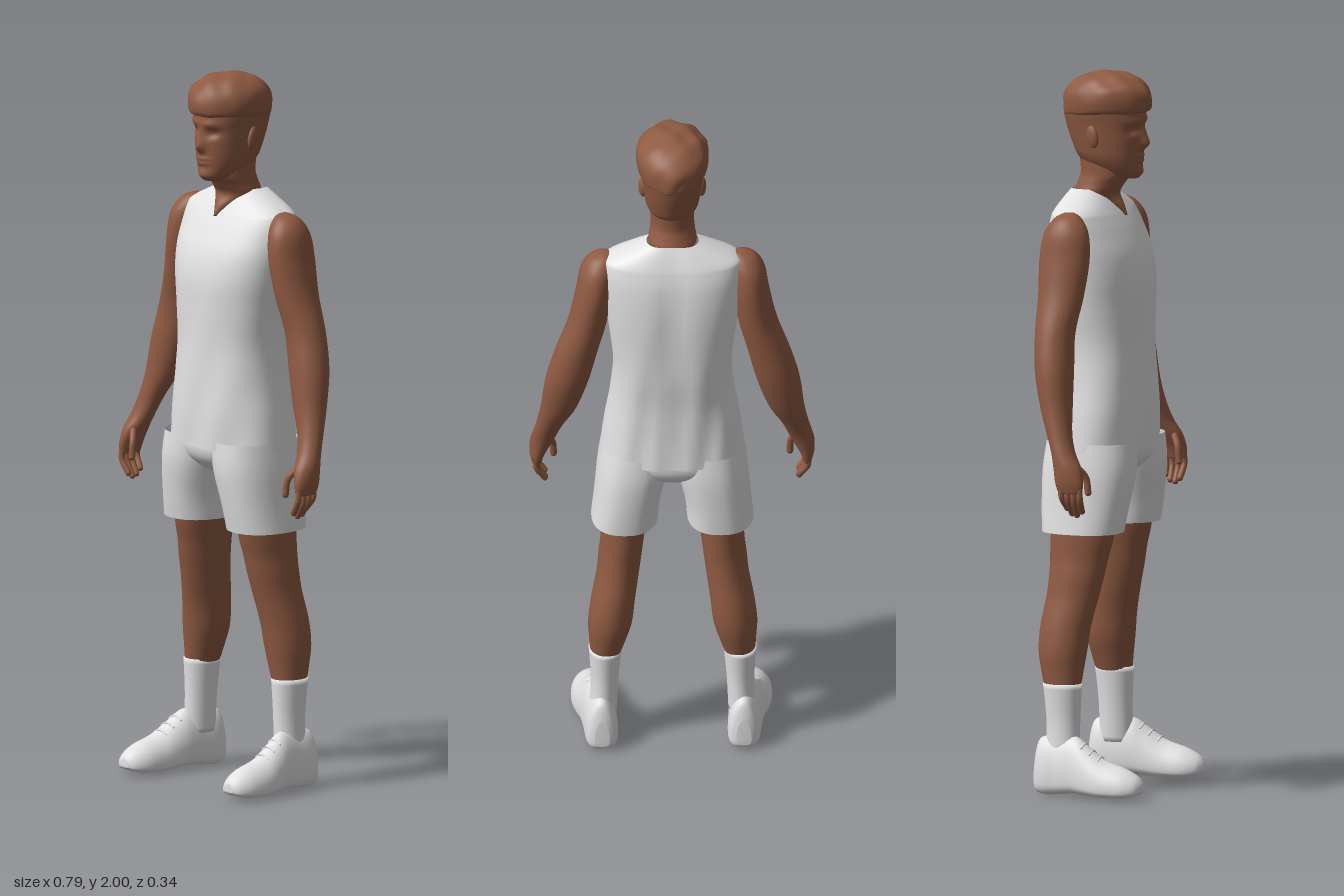
import * as THREE from 'three';

const skin = new THREE.MeshStandardMaterial({ color: 0x8f5a42 });
skin.name = 'skin';
const cloth = new THREE.MeshStandardMaterial({ color: 0xe2e2e2, side: THREE.DoubleSide });
cloth.name = 'white cloth';

const bump = (d, w) => Math.exp(-(d * d) / (w * w));
const power = (v, n) => Math.sign(v) * Math.pow(Math.abs(v), 2 / n);

// smooth interpolation between neighbouring profile rows
function blend(rows, i, t) {
  const at = (k) => rows[Math.min(rows.length - 1, Math.max(0, k))];
  const [a, b, c, d] = [at(i - 1), at(i), at(i + 1), at(i + 2)];
  return b.map((_, k) => {
    const m0 = (c[k] - a[k]) / 2, m1 = (d[k] - b[k]) / 2;
    const t2 = t * t, t3 = t2 * t;
    return (2 * t3 - 3 * t2 + 1) * b[k] + (t3 - 2 * t2 + t) * m0 + (3 * t2 - 2 * t3) * c[k] + (t3 - t2) * m1;
  });
}

// Skin over oval cross-sections. Rows along y, upwards: [y, centreX, halfWidth, zFront, zBack];
// rows along z, front to back: [z, centreX, halfWidth, yTop, yBottom].
function loft(name, material, rows, { axis = 'y', seg = 32, steps = 5, cap = true, nf = 2, nb = 2, mid = 0.5, shape } = {}) {
  const rings = [];
  for (let i = 0; i < rows.length - 1; i++)
    for (let s = 0; s < steps; s++) rings.push(blend(rows, i, s / steps));
  rings.push(rows[rows.length - 1]);
  if (cap) {
    const point = ([t, x, , f, b]) => { const m = b + (f - b) * mid; return [t, x, 0, m, m]; };
    rings.unshift(point(rings[0]));
    rings.push(point(rings[rings.length - 1]));
  }
  const pos = [], index = [], v = new THREE.Vector3();
  rings.forEach(([t, x, r, f, b], i) => {
    const m = b + (f - b) * mid;
    for (let j = 0; j < seg; j++) {
      const a = (j / seg) * Math.PI * 2, s = Math.sin(a), n = s > 0 ? nf : nb;
      const px = x + r * power(Math.cos(a), n), q = m + (s > 0 ? f - m : m - b) * power(s, n);
      if (axis === 'y') v.set(px, t, q); else v.set(px, q, t);
      if (shape) shape(v);
      pos.push(v.x, v.y, v.z);
      if (i < rings.length - 1) {
        const k = (j + 1) % seg, lo = i * seg, hi = lo + seg;
        index.push(lo + j, hi + j, lo + k, hi + j, hi + k, lo + k);
      }
    }
  });
  const g = new THREE.BufferGeometry();
  g.setAttribute('position', new THREE.Float32BufferAttribute(pos, 3));
  g.setIndex(index);
  g.computeVertexNormals();
  const mesh = new THREE.Mesh(g, material);
  mesh.name = name;
  return mesh;
}

// rounded tube through a few points
function strand(name, material, points, r) {
  const group = new THREE.Group();
  group.name = name;
  const pts = points.map((p) => new THREE.Vector3(...p));
  group.add(new THREE.Mesh(new THREE.TubeGeometry(new THREE.CatmullRomCurve3(pts), 10, r, 10), material));
  for (const p of [pts[0], pts[pts.length - 1]]) {
    const tip = new THREE.Mesh(new THREE.SphereGeometry(r, 10, 8), material);
    tip.position.copy(p);
    group.add(tip);
  }
  return group;
}

function makeHead() {
  const head = new THREE.Group();
  head.name = 'head';
  // nose, eye sockets, brow, lips and chin are pushed out of the face
  const face = (v) => {
    if (v.z < 0.02) return;
    const x = Math.abs(v.x), y = v.y;
    v.z += 0.020 * bump(x, 0.013) * bump(y - 1.803, 0.018) + 0.010 * bump(x, 0.010) * bump(y - 1.83, 0.022)
      - 0.013 * bump(x - 0.035, 0.018) * bump(y - 1.842, 0.013)
      + 0.005 * bump(x - 0.03, 0.03) * bump(y - 1.868, 0.01)
      + 0.007 * bump(x, 0.022) * (bump(y - 1.768, 0.006) + bump(y - 1.755, 0.006))
      + 0.006 * bump(x, 0.022) * bump(y - 1.723, 0.013);
  };
  head.add(loft('skull', skin, [
    [1.705, 0, 0.028, 0.066, -0.02], [1.72, 0, 0.048, 0.075, -0.06], [1.76, 0, 0.07, 0.077, -0.105],
    [1.80, 0, 0.078, 0.08, -0.125], [1.85, 0, 0.084, 0.083, -0.142], [1.90, 0, 0.09, 0.082, -0.15],
    [1.95, 0, 0.08, 0.06, -0.135], [1.98, 0, 0.05, 0.03, -0.09]],
  { seg: 64, steps: 10, nf: 2.2, shape: face }));
  // short wavy hair with an overhanging fringe
  const waves = (v) => {
    const w = 0.003 * Math.sin(v.x * 75 + v.y * 40) * Math.sin(v.z * 60 + 1);
    v.x *= 1 + w * 6;
    v.y += w - 0.012 * Math.max(0, -v.z * 8) * bump(v.y - 1.89, 0.02);
    v.z += w;
  };
  head.add(loft('hair', skin, [
    [1.888, 0, 0.085, 0.083, -0.143], [1.897, 0, 0.097, 0.1, -0.15], [1.93, 0, 0.101, 0.102, -0.15],
    [1.96, 0, 0.092, 0.087, -0.132], [1.985, 0, 0.065, 0.055, -0.098], [1.996, 0, 0.03, 0.015, -0.06],
    [1.999, 0, 0.006, -0.01, -0.03]], { seg: 48, shape: waves }));
  for (const s of [-1, 1]) {
    const ear = new THREE.Mesh(new THREE.SphereGeometry(1, 16, 12), skin);
    ear.name = 'ear';
    ear.scale.set(0.01, 0.032, 0.019);
    ear.position.set(s * 0.083, 1.825, -0.035);
    ear.rotation.set(-0.2, s * 0.3, 0);
    head.add(ear);
  }
  // neck narrows to a point inside the V of the collar
  head.add(loft('neck', skin, [
    [1.60, 0, 0.008, 0.036, -0.05], [1.63, 0, 0.036, 0.024, -0.09], [1.66, 0, 0.066, 0.008, -0.115],
    [1.69, 0, 0.063, 0.026, -0.108], [1.72, 0, 0.06, 0.045, -0.1], [1.77, 0, 0.06, 0.04, -0.105]]));
  return head;
}

function makeArm(s) {
  const arm = new THREE.Group();
  arm.name = s > 0 ? 'left arm' : 'right arm';
  arm.add(loft('arm and palm', skin, [
    [0.87, 0.374, 0.014, 0.055, -0.015], [0.90, 0.373, 0.021, 0.057, -0.025], [0.94, 0.364, 0.03, 0.047, -0.033],
    [0.98, 0.353, 0.034, 0.024, -0.043], [1.03, 0.338, 0.038, 0.008, -0.062], [1.10, 0.314, 0.05, -0.002, -0.09],
    [1.20, 0.292, 0.06, -0.008, -0.115], [1.30, 0.267, 0.059, -0.014, -0.125], [1.40, 0.236, 0.054, 0, -0.13],
    [1.50, 0.217, 0.051, 0.01, -0.135], [1.57, 0.208, 0.048, 0.003, -0.125], [1.61, 0.196, 0.036, -0.022, -0.1],
    [1.625, 0.188, 0.012, -0.045, -0.075]].map(([y, x, ...r]) => [y, x * s, ...r])));
  for (let i = 0; i < 4; i++) {
    const z = 0.047 - i * 0.018, drop = [0.01, 0, 0.004, 0.018][i];
    arm.add(strand('finger', skin, [[s * 0.375, 0.89, z], [s * 0.375, 0.85 + drop / 2, z + 0.002],
      [s * 0.352, 0.808 + drop, z * 0.8 + 0.008]], 0.0088));
  }
  arm.add(strand('thumb', skin, [[s * 0.348, 0.94, 0.03], [s * 0.33, 0.91, 0.048], [s * 0.327, 0.868, 0.054]], 0.0095));
  return arm;
}

function makeLeg(s) {
  const leg = new THREE.Group();
  leg.name = s > 0 ? 'left leg' : 'right leg';
  const side = (rows) => rows.map(([t, x, ...r]) => [t, x * s, ...r]);
  leg.add(loft('bare leg', skin, side([
    [0.28, 0.188, 0.04, -0.032, -0.128], [0.34, 0.18, 0.051, -0.025, -0.143], [0.40, 0.173, 0.061, -0.017, -0.154],
    [0.47, 0.165, 0.061, -0.008, -0.152], [0.55, 0.152, 0.059, 0.01, -0.14], [0.61, 0.145, 0.06, 0.024, -0.135],
    [0.66, 0.139, 0.06, 0.034, -0.135], [0.73, 0.133, 0.064, 0.05, -0.135], [0.85, 0.12, 0.07, 0.06, -0.135]])));
  leg.add(loft('shorts leg', cloth, side([
    [0.73, 0.1325, 0.0925, 0.072, -0.155], [0.80, 0.125, 0.092, 0.085, -0.16],
    [0.90, 0.109, 0.099, 0.1, -0.163], [0.98, 0.098, 0.098, 0.098, -0.155]]), { cap: false, nf: 2.3, nb: 2.4 }));
  leg.add(loft('sock', cloth, side([
    [0.10, 0.193, 0.039, -0.028, -0.127], [0.20, 0.188, 0.0385, -0.03, -0.126], [0.31, 0.1865, 0.046, -0.026, -0.137]])));
  leg.add(loft('shoe', cloth, side([
    [0.173, 0.222, 0.016, 0.048, 0.024], [0.158, 0.222, 0.038, 0.066, 0.014], [0.12, 0.221, 0.055, 0.086, 0.006],
    [0.06, 0.219, 0.059, 0.105, 0.004], [0.01, 0.213, 0.055, 0.138, 0.006], [-0.03, 0.206, 0.05, 0.165, 0.008],
    [-0.08, 0.2, 0.047, 0.163, 0.003], [-0.12, 0.197, 0.045, 0.163, 0], [-0.145, 0.196, 0.037, 0.15, 0.006],
    [-0.156, 0.196, 0.02, 0.10, 0.02]]), { axis: 'z', nf: 1.9, nb: 3.2, mid: 0.28 }));
  for (let i = 0; i < 3; i++) {
    const z = 0.045 - i * 0.025, y = 0.113 + i * 0.017, x = s * (0.217 - i * 0.003);
    leg.add(strand('lace', cloth, [[x - 0.024, y - 0.009, z], [x, y + 0.001, z + 0.002], [x + 0.024, y - 0.009, z]], 0.003));
  }
  return leg;
}

export function createModel() {
  const model = new THREE.Group();
  model.name = 'standing athlete';
  model.add(makeHead());

  // sleeveless shirt with a spine groove and soft folds
  const folds = (v) => {
    const low = Math.max(0, 1.45 - v.y);
    if (v.z < -0.05) v.z += 0.011 * bump(v.x, 0.035) * bump(v.y - 1.42, 0.22) + 0.008 * low * Math.sin(v.x * 70 + v.y * 8);
    else v.z += 0.006 * low * Math.sin(v.x * 45 - v.y * 14);
  };
  model.add(loft('shirt', cloth, [
    [0.955, 0, 0.2, 0.105, -0.165], [1.05, 0, 0.188, 0.106, -0.16], [1.15, 0, 0.172, 0.103, -0.16],
    [1.25, 0, 0.164, 0.1, -0.168], [1.35, 0, 0.173, 0.1, -0.172], [1.43, 0, 0.184, 0.098, -0.173],
    [1.50, 0, 0.192, 0.083, -0.17], [1.56, 0, 0.195, 0.054, -0.163], [1.60, 0, 0.193, 0.03, -0.153],
    [1.62, 0, 0.182, 0.016, -0.146], [1.65, 0, 0.125, -0.006, -0.132], [1.675, 0, 0.072, -0.028, -0.118]],
  { seg: 64, cap: false, nf: 2.2, nb: 2.7, shape: folds }));
  // seat of the shorts joining both legs
  model.add(loft('shorts seat', cloth, [
    [0.885, 0, 0.06, 0.05, -0.12], [0.92, 0, 0.15, 0.086, -0.152], [0.96, 0, 0.195, 0.097, -0.158],
    [1.0, 0, 0.185, 0.09, -0.15]], { nf: 2.4, nb: 2.6 }));

  for (const s of [-1, 1]) model.add(makeArm(s), makeLeg(s));
  return model;
}
